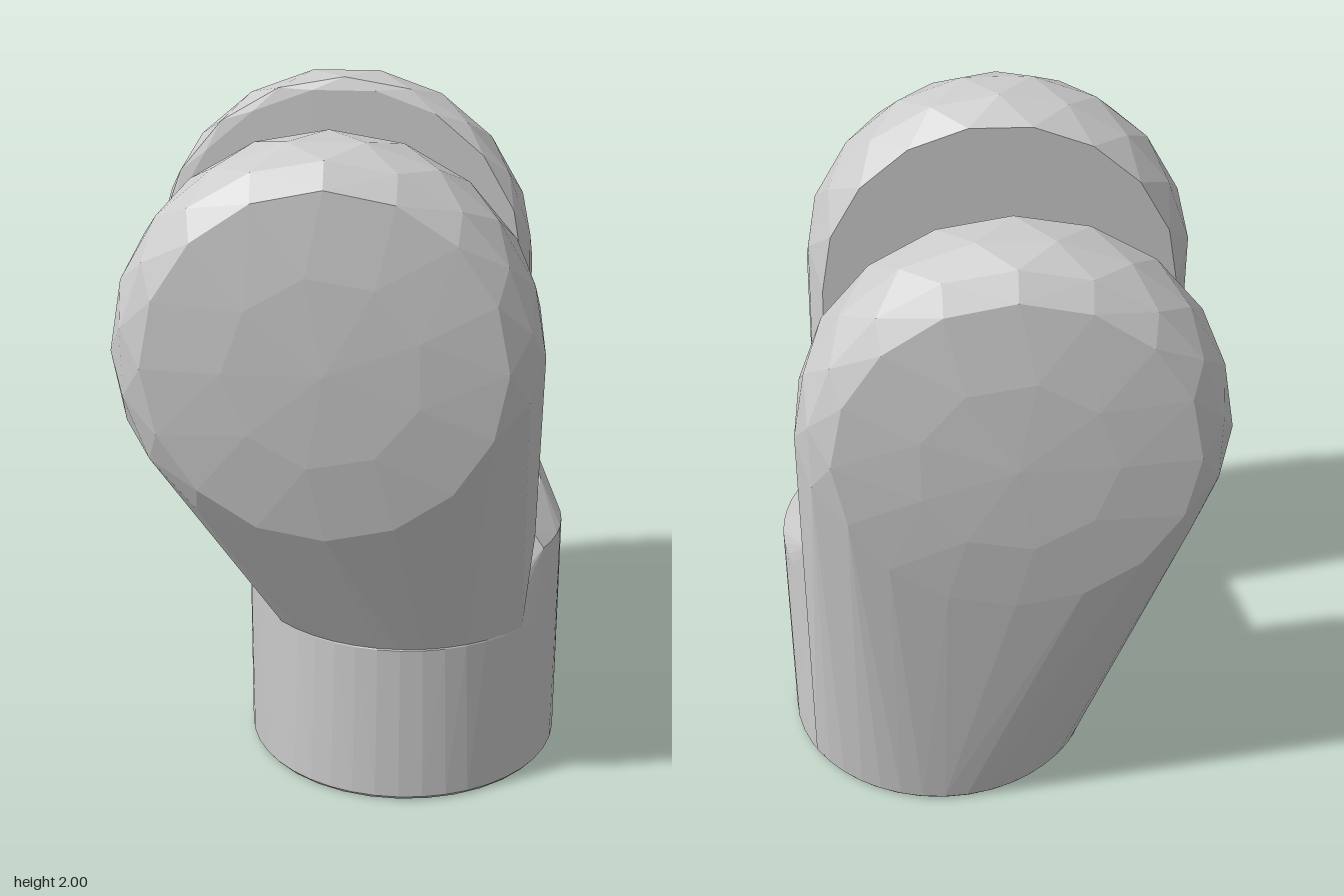
import * as THREE from 'three';
import { ConvexGeometry } from 'three/addons/geometries/ConvexGeometry.js';

const V = (x, y, z) => new THREE.Vector3(x, y, z);
const BASE_X = 0.155, BASE_R = 0.48;     // round foot
const HEAD_X = -0.05, HEAD_Y = 1.415;    // centre of both rounded heads

// upright ring of points around the head centre; zAt gives its depth at (x, y)
function ring(r, n, phase, zAt) {
  const pts = [];
  for (let i = 0; i < n; i++) {
    const a = (i + phase) / n * Math.PI * 2;
    const x = HEAD_X + r * Math.cos(a), y = HEAD_Y + r * Math.sin(a);
    pts.push(V(x, y, zAt(x, y)));
  }
  return pts;
}

// horizontal arc of the foot outline between two angles (0 = +x, 90 = +z)
function arc(from, to, n, y) {
  const pts = [];
  for (let i = 0; i <= n; i++) {
    const a = THREE.MathUtils.degToRad(from + (to - from) * i / n);
    pts.push(V(BASE_X + BASE_R * Math.cos(a), y, BASE_R * Math.sin(a)));
  }
  return pts;
}

// domed head: rounded rim, shallow outer dome, flat inner face
function head(side, innerR, innerZ) {
  return [
    ...ring(innerR, 18, 0, innerZ),
    ...ring(0.585, 18, 0.5, () => side * 0.36),
    ...ring(0.59, 18, 0, () => side * 0.49),
    ...ring(0.555, 18, 0.5, () => side * 0.585),
    ...ring(0.49, 16, 0, () => side * 0.637),
    ...ring(0.27, 9, 0.5, () => side * 0.666),
    V(HEAD_X, HEAD_Y, side * 0.677),
  ];
}

export function createModel() {
  const group = new THREE.Group();
  const material = new THREE.MeshStandardMaterial({ color: 0xcccccc, flatShading: true });
  const add = (name, pts) => {
    const mesh = new THREE.Mesh(new ConvexGeometry(pts), material);
    mesh.name = name;
    group.add(mesh);
  };

  // round foot with a sloping seat between the two arms
  add('base', [
    ...arc(-37, 217, 30, 0.012),
    ...arc(-35, 215, 24, 0).map(p => V(BASE_X + (p.x - BASE_X) * 0.98, 0, p.z * 0.98)),
    ...arc(35, 145, 14, 0.505),
    ...arc(-37, 30, 10, 0.73),
    V(-0.31, 0.885, -0.3), V(-0.325, 0.73, 0), V(-0.3, 0.785, 0.22),
    V(0.54, 0.885, -0.3), V(0.57, 0.83, -0.05), V(0.53, 0.785, 0.22),
  ]);

  // narrow lip where the seat meets the front arm
  add('seatLip', [
    V(-0.29, 0.785, 0.22), V(0.51, 0.785, 0.22), V(-0.27, 0.83, 0.3), V(0.52, 0.83, 0.3),
    V(-0.29, 0.6, 0.22), V(0.51, 0.6, 0.22), V(-0.25, 0.6, 0.3), V(0.52, 0.6, 0.3),
  ]);

  // front arm tapers into the upper part of the foot
  add('frontArm', [
    ...head(1, 0.535, () => 0.263),
    ...arc(42, 138, 12, 0.51),
    V(0.54, 0.8, 0.31), V(0.5, 0.86, 0.265), V(-0.3, 0.86, 0.265),
  ]);

  // back arm runs all the way down to the ground
  const innerPlane = (x, y) => -0.262 - 0.04 * y + 0.035 * x;
  add('backArm', [
    ...head(-1, 0.555, innerPlane),
    ...arc(-148, -32, 14, 0.012),
    ...arc(-145, -35, 12, 0).map(p => V(BASE_X + (p.x - BASE_X) * 0.98, 0, p.z * 0.98)),
  ]);

  return group;
}
